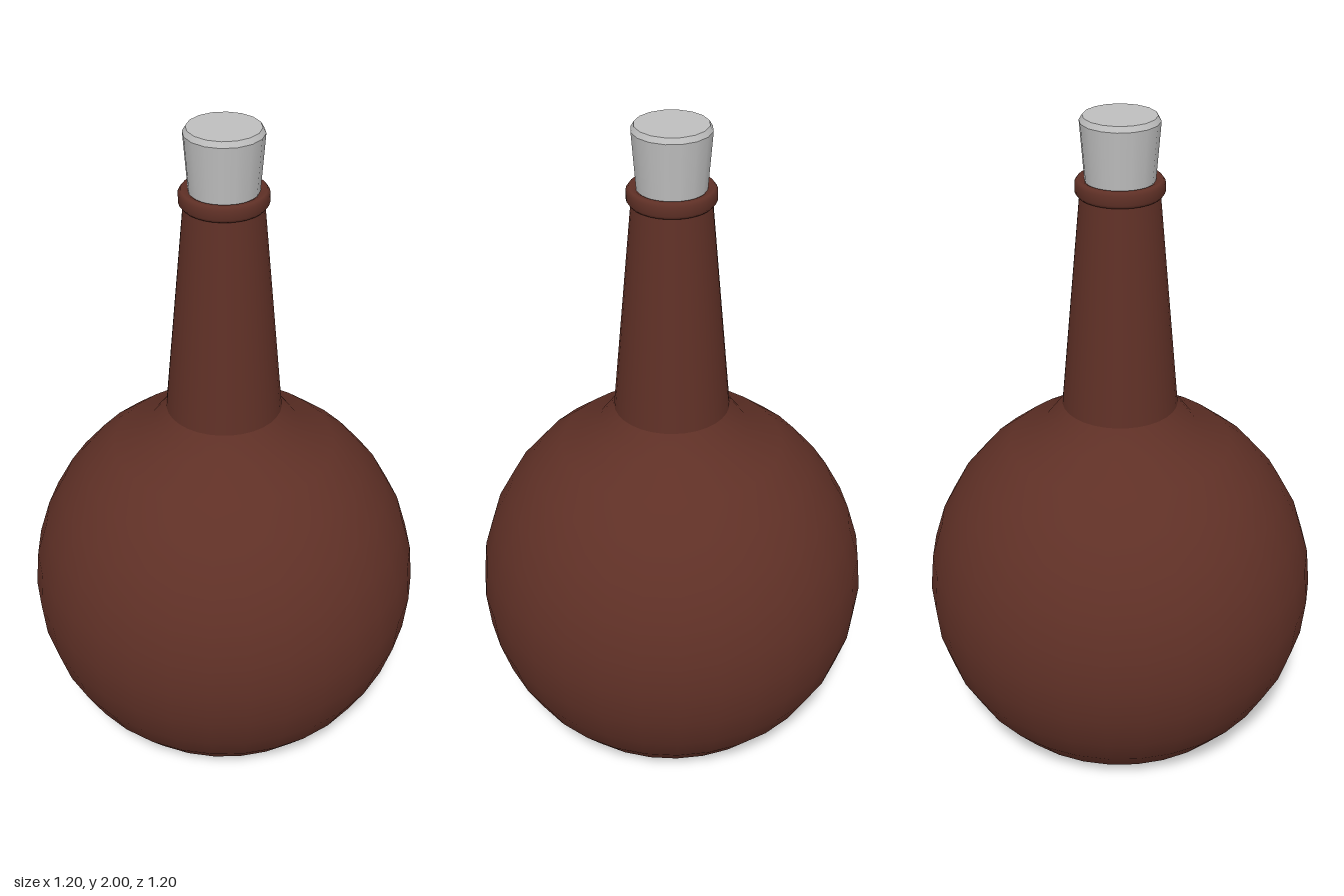
import * as THREE from 'three';

const V = (p) => new THREE.Vector2(p[0], p[1]);

export function createModel() {
  const group = new THREE.Group();
  const glass = new THREE.MeshStandardMaterial({ color: 0x5f3026 });
  glass.name = 'brown glass';
  const cork = new THREE.MeshStandardMaterial({ color: 0xbebebe });
  cork.name = 'pale grey stopper';

  // Turned part from a bottom-to-top profile
  const turn = (name, points, segments, material) => {
    const mesh = new THREE.Mesh(new THREE.LatheGeometry(points.map(V), segments), material);
    mesh.name = name;
    group.add(mesh);
  };

  // Round belly: arc of a sphere cut flat at the foot, running into the shoulder
  const belly = [];
  for (let i = -5; i <= 6; i++) {
    const a = (i * Math.PI) / 16;
    belly.push([0.6 * Math.cos(a), 0.499 + 0.6 * Math.sin(a)]);
  }
  belly[0][1] = 0;
  turn('belly', [...belly, [0.172, 1.13]], 32, glass);
  turn('base', [[0, 0], [belly[0][0], 0]], 32, glass);

  // Tapering neck
  turn('neck', [[0.172, 1.13], [0.112, 1.79]], 32, glass);

  // Rounded lip around the mouth
  turn('lip', [
    [0.108, 1.778], [0.119, 1.778], [0.126, 1.788], [0.126, 1.814],
    [0.119, 1.824], [0.106, 1.824], [0.09, 1.815],
  ], 32, glass);

  // Stopper, widening upward, with a bevelled top edge
  turn('stopperSide', [[0.096, 1.78], [0.112, 1.985]], 16, cork);
  turn('stopperBevel', [[0.112, 1.985], [0.103, 2]], 16, cork);
  turn('stopperTop', [[0.103, 2], [0, 2]], 16, cork);

  return group;
}
